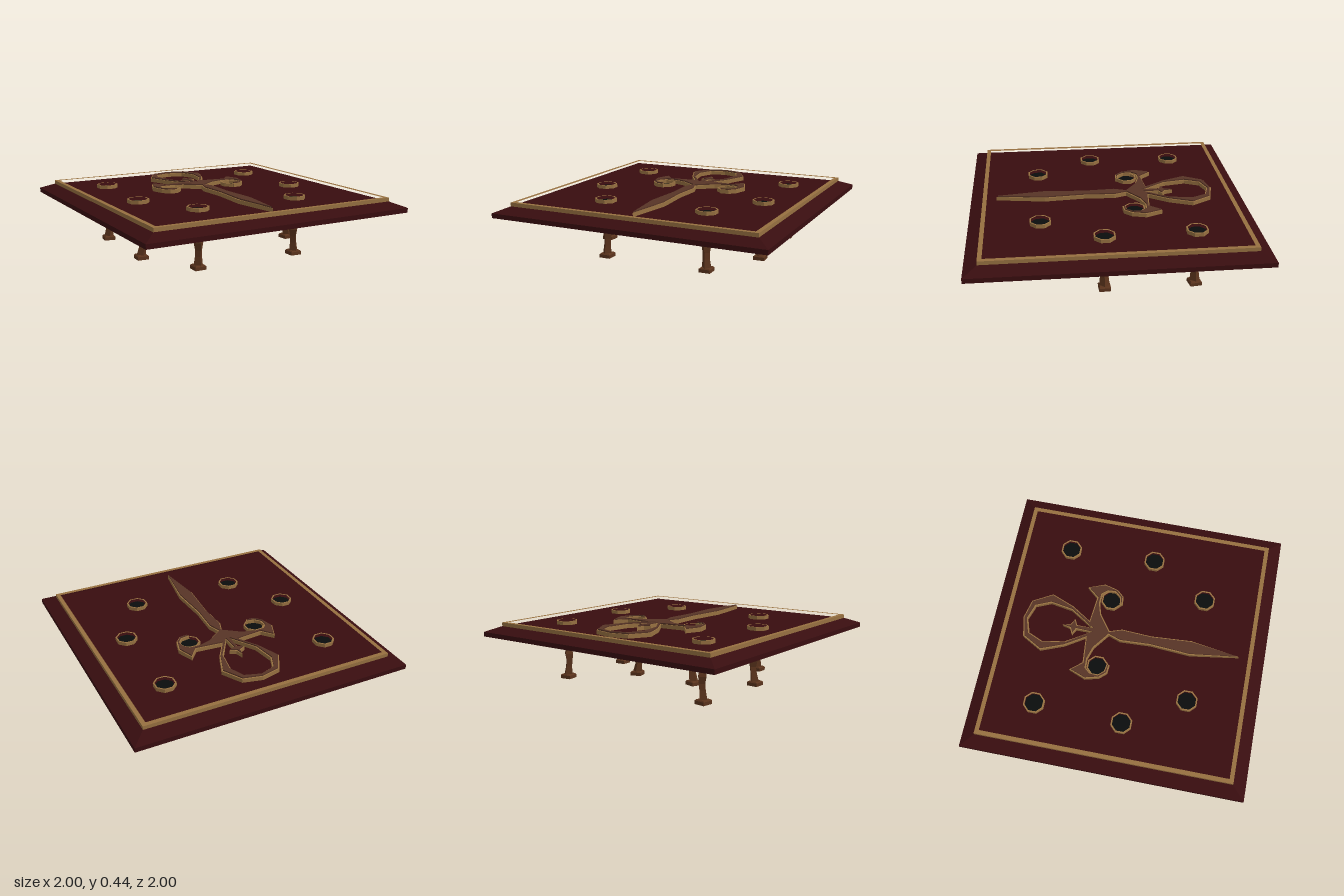
import * as THREE from 'three';

const mat = (color) => new THREE.MeshStandardMaterial({ color, flatShading: true });
const maroon = mat(0x380d0f), gold = mat(0x967040), bronze = mat(0x573426);
const black = mat(0x0a0d0d), wood = mat(0x5a331c);

function add(parent, name, geometry, material) {
  const mesh = new THREE.Mesh(geometry, material);
  mesh.name = name;
  parent.add(mesh);
  return mesh;
}

// Stacks four-sided sections [y, halfX, halfZ, centreX]; square or diamond corners
function loft(sections, diamond) {
  const corners = diamond ? [[1, 0], [0, 1], [-1, 0], [0, -1]] : [[1, 1], [-1, 1], [-1, -1], [1, -1]];
  const pos = [], index = [];
  for (const [y, hx, hz, cx = 0] of sections)
    for (const [a, b] of corners) pos.push(cx + a * hx, y, b * hz);
  for (let s = 0; s < sections.length - 1; s++)
    for (let i = 0; i < 4; i++) {
      const a = s * 4 + i, b = s * 4 + (i + 1) % 4;
      index.push(a, a + 4, b, b, a + 4, b + 4);
    }
  const t = (sections.length - 1) * 4;
  index.push(0, 1, 2, 0, 2, 3, t, t + 2, t + 1, t, t + 3, t + 2);
  let g = new THREE.BufferGeometry();
  g.setAttribute('position', new THREE.Float32BufferAttribute(pos, 3));
  g.setIndex(index);
  g = g.toNonIndexed();
  g.computeVertexNormals();
  return g;
}

// Outlines are given as [x, z]; the shape lies flat and rises from y0 to y1
const outline = (pts) => pts.map(([x, z]) => new THREE.Vector2(x, -z));
function slabShape(outer, hole, y0, y1, inset = 0) {
  const shape = new THREE.Shape(outline(outer));
  if (hole) shape.holes.push(new THREE.Path(outline(hole)));
  const g = new THREE.ExtrudeGeometry(shape, {
    depth: y1 - y0, bevelEnabled: inset > 0, bevelThickness: 0.001,
    bevelSize: 0, bevelOffset: -inset, bevelSegments: 1,
  });
  return g.rotateX(-Math.PI / 2).translate(0, y0, 0);
}

const square = (r) => [[-r, -r], [r, -r], [r, r], [-r, r]];
const octagon = (r, x, z) => Array.from({ length: 8 }, (_, i) => {
  const a = (i + 0.5) * Math.PI / 4;
  return [x + r * Math.cos(a), z + r * Math.sin(a)];
});
// Completes a half outline that starts and ends on x = 0
const mirrored = (half) => half.concat(half.slice(1, -1).reverse().map(([x, z]) => [-x, z]));

export function createModel() {
  const model = new THREE.Group();
  model.name = 'spikedFloorPlate';

  // Plate with sloped rim, and its raised border
  add(model, 'plate', loft([[0.335, 1, 1], [0.368, 1, 1], [0.408, 0.905, 0.905]]), maroon);
  add(model, 'border', slabShape(square(0.907), square(0.877), 0.4, 0.434), gold);

  // Looped cross emblem with hooked arms and a dagger-like stem
  const outer = mirrored([
    [0, -0.775], [0.14, -0.742], [0.22, -0.6], [0.155, -0.435], [0.065, -0.295],
    [0.255, -0.278], [0.325, -0.36], [0.372, -0.24], [0.345, -0.14], [0.30, -0.09],
    [0.24, -0.085], [0.23, -0.105], [0.29, -0.115], [0.325, -0.155], [0.322, -0.21],
    [0.29, -0.247], [0.22, -0.25], [0.13, -0.222], [0.015, -0.137], [0.045, -0.05],
    [0.034, 0.17], [0.054, 0.46], [0, 0.81],
  ]);
  const inner = mirrored([
    [0, -0.482], [0.016, -0.424], [0.06, -0.4], [0.016, -0.376], [0.016, -0.265],
    [0.125, -0.44], [0.152, -0.6], [0.107, -0.705], [0, -0.74],
  ]);
  add(model, 'emblemEdge', slabShape(outer, inner, 0.405, 0.436), gold);
  add(model, 'emblemFace', slabShape(outer, inner, 0.43, 0.444, 0.009), bronze);

  // Hole positions, with the spike's foot angle and blade lean beneath each
  const traps = [
    [0.61, -0.55, 0.15, 0.012], [0.635, 0.08, 0.05, 0.02],
    [0.39, 0.5, 0.0, 0.004], [0.26, -0.17, 0.3, 0.02],
  ];
  for (const side of [1, -1]) {
    for (const [px, z, turn, lean] of traps) {
      const x = px * side;
      add(model, 'holeRim', slabShape(octagon(0.078, x, z), octagon(0.067, x, z), 0.405, 0.434), gold);
      add(model, 'hole', slabShape(octagon(0.068, x, z), null, 0.4, 0.412), black);

      // Spike: square foot, pinched shaft, faceted blade
      const spike = new THREE.Group();
      spike.name = 'spike';
      spike.position.set(px === 0.635 ? 0.62 * side : x, 0, z);
      spike.rotation.y = side > 0 ? turn : Math.PI - turn;
      add(spike, 'foot', loft([[0, 0.041, 0.041], [0.024, 0.041, 0.041], [0.032, 0.032, 0.034]]), wood);
      const blade = loft([
        [0.025, 0.036, 0.038, 0], [0.09, 0.027, 0.03, -lean * 0.6], [0.135, 0.027, 0.03, -lean],
        [0.185, 0.037, 0.039, -lean * 0.8], [0.305, 0.001, 0.001, -lean],
      ], true);
      add(spike, 'blade', blade, wood);
      model.add(spike);
    }
  }
  return model;
}
